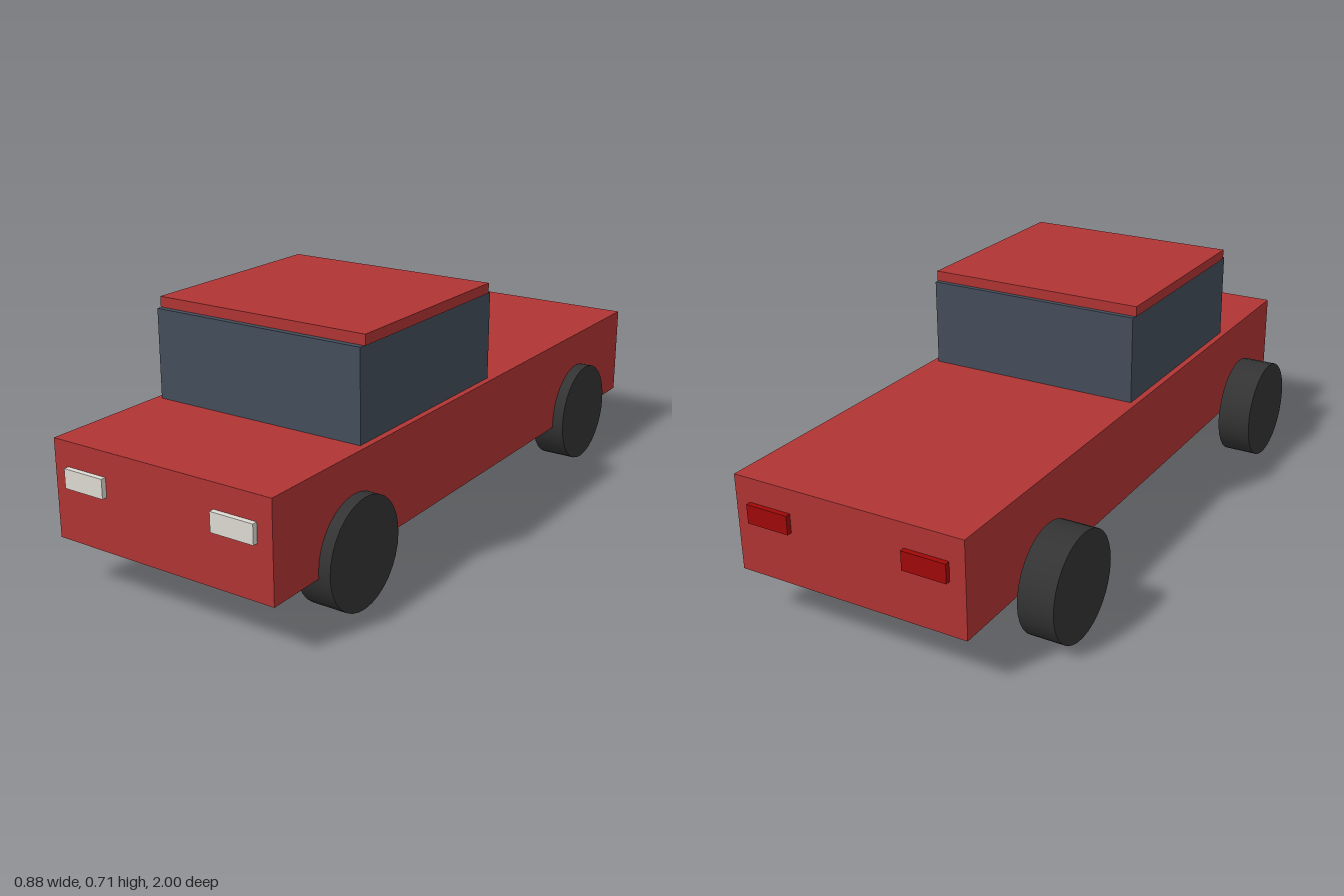
import * as THREE from 'three';

const material = (color) => new THREE.MeshStandardMaterial({ color });

export function createModel() {
  const model = new THREE.Group();
  model.name = 'pickupTruck';

  const red = material(0xb03434);
  const glass = material(0x444d5a);
  const rubber = material(0x333333);
  const lampWhite = material(0xdddbd2);
  const lampRed = material(0xa00808);

  const add = (name, geometry, mat, x, y, z) => {
    const mesh = new THREE.Mesh(geometry, mat);
    mesh.name = name;
    mesh.position.set(x, y, z);
    model.add(mesh);
    return mesh;
  };

  // Body, cabin and roof share a centre line set slightly to the left of the wheels
  const cx = 0.051;
  add('body', new THREE.BoxGeometry(0.707, 0.28, 1.97), red, cx, 0.28, 0);
  add('cabin', new THREE.BoxGeometry(0.67, 0.26, 0.668), glass, cx, 0.55, 0.261);
  add('roof', new THREE.BoxGeometry(0.677, 0.03, 0.635), red, cx, 0.695, 0.26);

  // Wheels, and lamps standing just proud of the end faces
  const wheelGeometry = new THREE.CylinderGeometry(0.156, 0.156, 0.105, 32).rotateZ(Math.PI / 2);
  const lampGeometry = new THREE.BoxGeometry(0.131, 0.055, 0.03);
  for (const [side, s] of [['left', 1], ['right', -1]]) {
    for (const [end, e] of [['Front', 1], ['Rear', -1]]) {
      add(`${side}${end}Wheel`, wheelGeometry, rubber, s * 0.387, 0.156, e * 0.651);
    }
    const lampX = cx + s * 0.242;
    add(`${side}Headlight`, lampGeometry, lampWhite, lampX, 0.322, 0.985);
    add(`${side}TailLight`, lampGeometry, lampRed, lampX, 0.322, -0.985);
  }

  return model;
}
